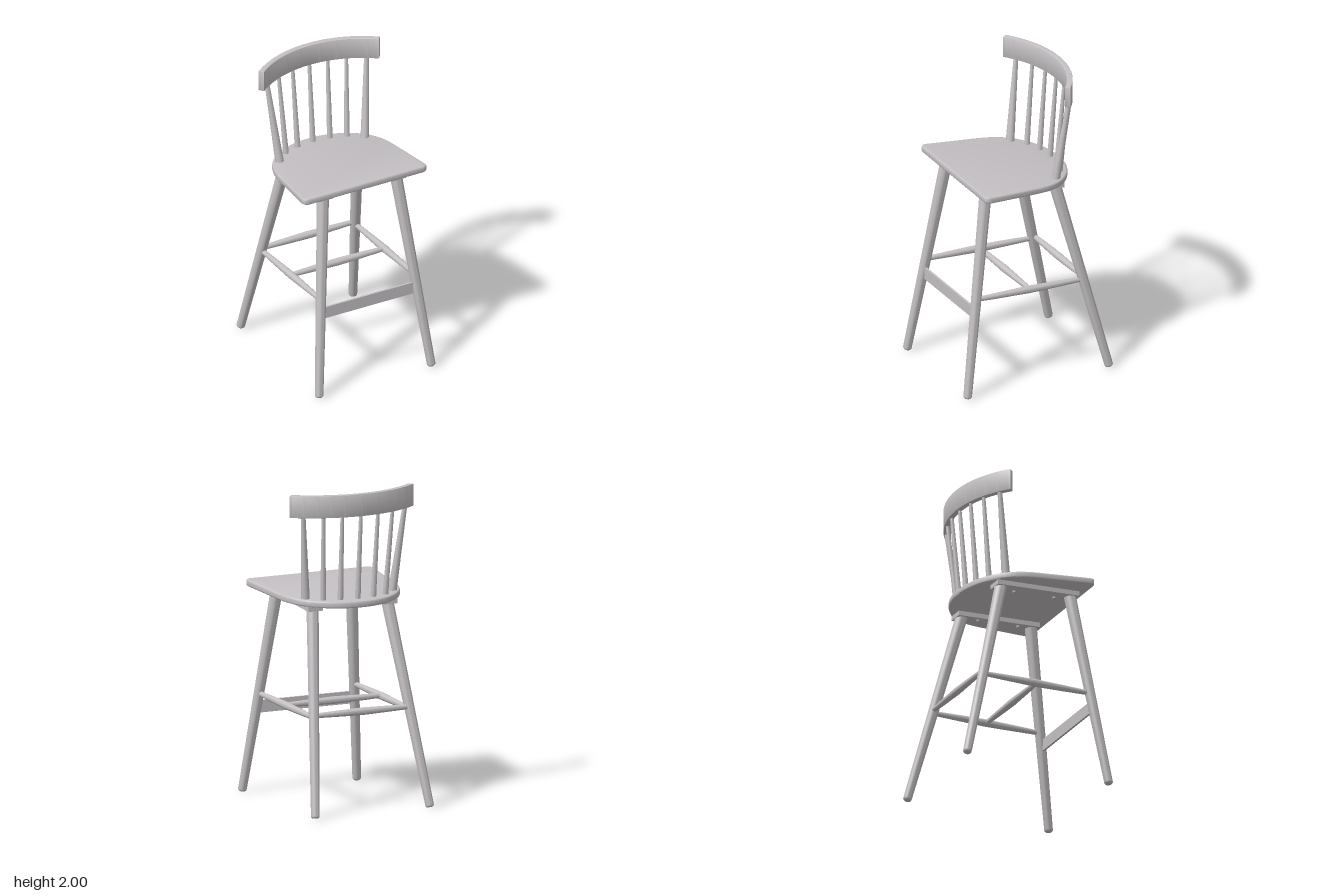
import * as THREE from 'three';
import { toCreasedNormals } from 'three/addons/utils/BufferGeometryUtils.js';

const paint = new THREE.MeshStandardMaterial({ color: 0xc4c0c3 });
paint.name = 'pale grey paint';

const SLOPE = 0.072; // the seat rises towards the front
const shear = (geo) => {
  const p = geo.attributes.position;
  for (let i = 0; i < p.count; i++) p.setY(i, p.getY(i) + SLOPE * p.getZ(i));
  return geo;
};

export function createModel() {
  const group = new THREE.Group();
  const add = (name, geo, crease = 0.6) => {
    const mesh = new THREE.Mesh(toCreasedNormals(geo, crease), paint);
    mesh.name = name;
    group.add(mesh);
    return mesh;
  };
  // Turned rod from a to b; profile lists [radius, fraction of length]
  const rod = (name, a, b, profile, sides = 20) => {
    const from = new THREE.Vector3(...a), dir = new THREE.Vector3(...b).sub(from);
    const len = dir.length();
    const pts = profile.map(([r, t]) => new THREE.Vector2(r, t * len));
    const mesh = add(name, new THREE.LatheGeometry(pts, sides));
    mesh.position.copy(from);
    mesh.quaternion.setFromUnitVectors(new THREE.Vector3(0, 1, 0), dir.normalize());
  };

  // Seat: square front with rounded corners, round back, softened edges
  const e = 0.01, w = 0.43, f = -0.38;
  const seat = new THREE.Shape();
  seat.moveTo(-w + 0.03, f);
  seat.lineTo(w - 0.03, f);
  seat.quadraticCurveTo(w, f, w, f + 0.03);
  seat.lineTo(0.398, 0);
  const back = [[0.383, 0.08], [0.348, 0.165], [0.29, 0.235], [0.2, 0.297], [0.1, 0.332], [0, 0.342]];
  const mirrored = back.slice(0, -1).reverse().map(([x, y]) => [-x, y]);
  seat.splineThru([...back, ...mirrored, [-0.398, 0]].map(([x, y]) => new THREE.Vector2(x, y)));
  seat.lineTo(-w, f + 0.03);
  seat.quadraticCurveTo(-w, f, -w + 0.03, f);
  const seatGeo = new THREE.ExtrudeGeometry(seat, {
    depth: 0.022, bevelEnabled: true, bevelSize: e, bevelThickness: e, bevelSegments: 3, curveSegments: 32,
  });
  seatGeo.rotateX(-Math.PI / 2).translate(0, 1.315, 0);
  add('seat', shear(seatGeo));

  const round = [[0, 0], [0.019, 0], [0.026, 0.006], [0.027, 0.012]];
  const leg = [...round, [0.038, 1], [0, 1]];
  const spindle = (r0, r1) => [[0, 0], [r0, 0], [r1, 1], [0, 1]];
  const stretcher = [[0, 0], [0.015, 0], [0.02, 0.25], [0.024, 0.5], [0.02, 0.75], [0.015, 1], [0, 1]];

  for (const s of [1, -1]) {
    const side = s > 0 ? 'left' : 'right';
    // Batten under the seat with its screws
    const batten = new THREE.BoxGeometry(0.1, 0.032, 0.57).translate(s * 0.26, 1.291, 0.055);
    add(side + 'Batten', shear(batten));
    for (const z of [0.2, -0.08]) {
      const screw = new THREE.CylinderGeometry(0.011, 0.009, 0.014, 12).translate(s * 0.24, 1.271, z);
      add(side + 'Screw', shear(screw));
    }
    // Splayed legs and side stretcher
    rod(side + 'FrontLeg', [s * 0.4, 0.008, 0.5], [s * 0.26, 1.305, 0.3], leg, 24);
    rod(side + 'BackLeg', [s * 0.4, 0.008, -0.495], [s * 0.26, 1.275, -0.185], leg, 24);
    rod(side + 'Stretcher', [s * 0.332, 0.637, 0.4], [s * 0.332, 0.611, -0.345], stretcher);
  }

  // Cross stretchers and flat front footrest
  rod('middleStretcher', [-0.332, 0.628, 0.03], [0.332, 0.628, 0.03], stretcher);
  rod('backStretcher', [-0.332, 0.625, -0.352], [0.332, 0.625, -0.352], stretcher);
  add('footrest', new THREE.BoxGeometry(0.65, 0.078, 0.014).translate(0, 0.55, 0.418));

  // Fan of back spindles: bottom x, z and top x, z
  const fan = [[0.115, -0.28, 0.125, -0.328], [0.217, -0.245, 0.242, -0.298], [0.303, -0.172, 0.357, -0.245]];
  const tops = [[0, -0.292, 0, -0.338]];
  for (const [a, b, c, d] of fan) tops.push([a, b, c, d], [-a, b, -c, d]);
  for (const [x0, z0, x1, z1] of tops) {
    const outer = Math.abs(x0) > 0.3;
    rod('spindle', [x0, 1.33, z0], [x1, 1.9, z1], outer ? spindle(0.027, 0.014) : spindle(0.018, 0.011), 16);
  }

  // Curved crest rail
  const R = 0.69, t = 0.037, half = 0.67, b = 0.004;
  const arc = new THREE.Shape();
  arc.absarc(0, 0, R - b, Math.PI / 2 - half, Math.PI / 2 + half, false);
  arc.absarc(0, 0, R - t + b, Math.PI / 2 + half, Math.PI / 2 - half, true);
  arc.closePath();
  const crest = new THREE.ExtrudeGeometry(arc, {
    depth: 0.14 - 2 * b, bevelEnabled: true, bevelSize: b, bevelThickness: b, bevelSegments: 2, curveSegments: 32,
  });
  crest.rotateX(-Math.PI / 2).translate(0, 1.86 + b, R - 0.36);
  add('crestRail', crest);

  return group;
}
